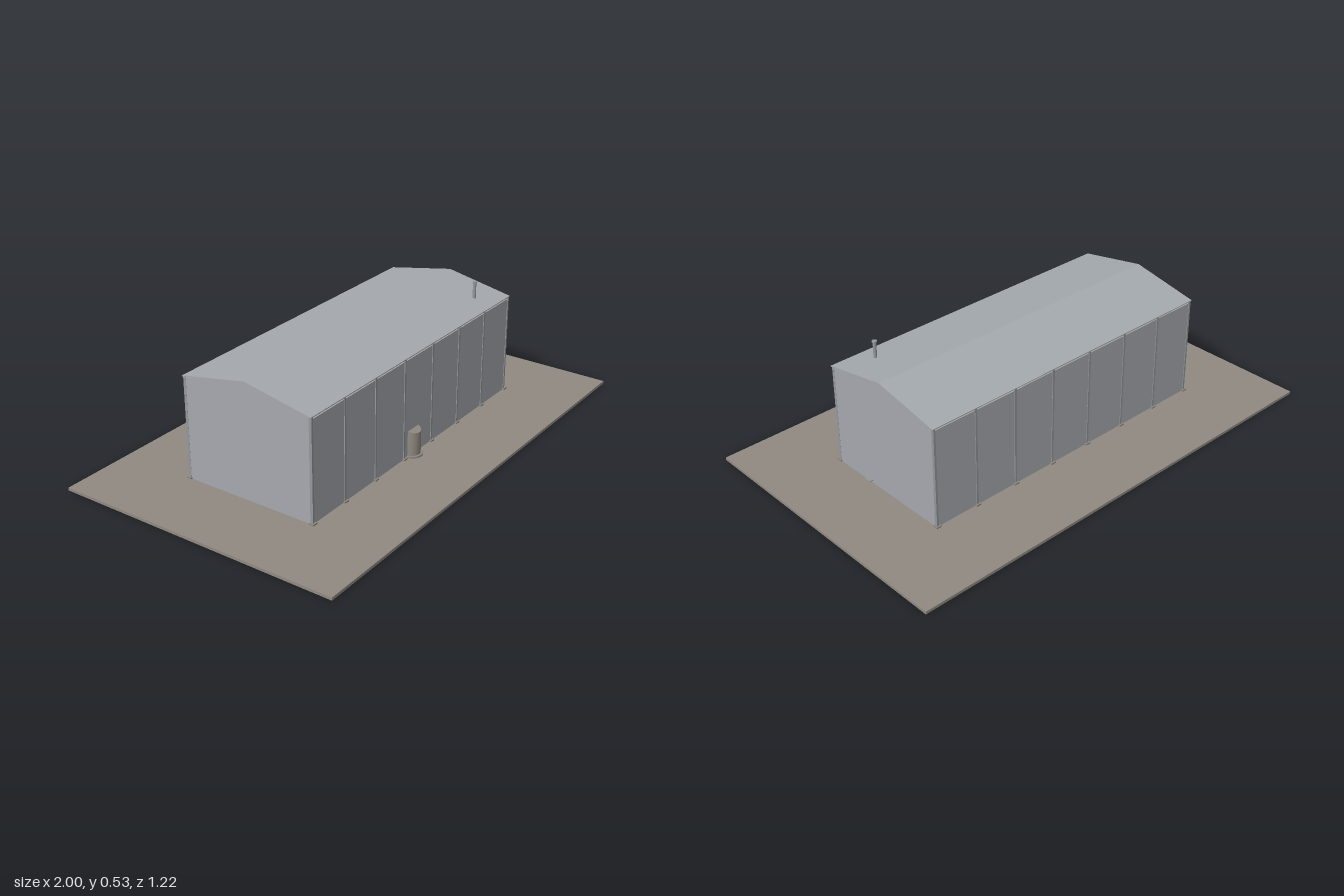
import * as THREE from 'three';

const mat = (name, color) => {
  const m = new THREE.MeshStandardMaterial({ color });
  m.name = name;
  return m;
};

export function createModel() {
  const model = new THREE.Group();
  const groundMat = mat('groundTaupe', 0x918a81);
  const wallMat = mat('wallGrey', 0xa6a9ae);
  const roofMat = mat('roofGrey', 0xa5aaae);
  const steelMat = mat('steelGrey', 0x94989b);
  const padMat = mat('concrete', 0x8c8780);
  const tankMat = mat('tankTaupe', 0x908a80);

  const GROUND = 0.012, HALF_X = 0.682, HALF_Z = 0.29;
  const WALL_TOP = 0.429, EAVE = 0.438, RIDGE = 0.497, BAYS = 7;

  const add = (name, geometry, material, x = 0, y = 0, z = 0) => {
    const mesh = new THREE.Mesh(geometry, material);
    mesh.name = name;
    mesh.position.set(x, y, z);
    model.add(mesh);
    return mesh;
  };
  const box = (name, w, h, d, material, x, bottom, z) =>
    add(name, new THREE.BoxGeometry(w, h, d), material, x, bottom + h / 2, z);

  // Profile given as [z, y] points, extruded along x and centred there
  const crossSection = (points, length) => {
    const shape = new THREE.Shape(points.map(([z, y]) => new THREE.Vector2(-z, y)));
    return new THREE.ExtrudeGeometry(shape, { depth: length, bevelEnabled: false })
      .translate(0, 0, -length / 2)
      .rotateY(Math.PI / 2);
  };

  // Site slab
  box('groundSlab', 2, GROUND, 1.22, groundMat, 0, 0, 0);

  // Long walls: panels between posts, with an open slot below the eaves
  const bay = (2 * HALF_X) / BAYS;
  for (const side of [1, -1]) {
    for (let i = 0; i < BAYS; i++) {
      const x = -HALF_X + bay * (i + 0.5);
      box('wallPanel', bay, WALL_TOP - GROUND, 0.006, wallMat, x, GROUND, side * (HALF_Z - 0.003));
    }
    for (let i = 0; i <= BAYS; i++) {
      const x = (-HALF_X + 0.004) + (2 * HALF_X - 0.008) * i / BAYS;
      box('wallPost', 0.009, EAVE - GROUND, 0.012, steelMat, x, GROUND, side * (HALF_Z - 0.003));
      box('postFoot', 0.022, 0.006, 0.022, padMat, x, GROUND, side * (HALF_Z - 0.001));
    }
  }

  // Gable walls
  const gable = [
    [HALF_Z, GROUND], [HALF_Z, EAVE - 0.004], [0, RIDGE - 0.005],
    [-HALF_Z, EAVE - 0.004], [-HALF_Z, GROUND],
  ];
  for (const side of [1, -1]) {
    add('gableWall', crossSection(gable, 0.006), wallMat, side * (HALF_X - 0.003));
  }

  // Thin pitched roof sheet
  const eaveZ = HALF_Z + 0.004;
  add('roof', crossSection([
    [eaveZ, EAVE - 0.001], [eaveZ, EAVE + 0.003], [0, RIDGE],
    [-eaveZ, EAVE + 0.003], [-eaveZ, EAVE - 0.001], [0, RIDGE - 0.005],
  ], 2 * HALF_X + 0.01), roofMat);

  // Flue pipe with a wider cap
  const flueX = 0.545, flueZ = 0.205;
  add('fluePipe', new THREE.CylinderGeometry(0.007, 0.007, 0.11, 16), steelMat, flueX, 0.47, flueZ);
  add('flueCap', new THREE.CylinderGeometry(0.01, 0.01, 0.006, 16), steelMat, flueX, 0.527, flueZ);

  // Round tank against the front wall, its top sloping down to the front
  const tank = new THREE.CylinderGeometry(0.037, 0.037, 0.105, 32);
  const p = tank.attributes.position;
  for (let i = 0; i < p.count; i++) {
    if (p.getY(i) > 0) p.setY(i, p.getY(i) + 0.008 - p.getZ(i) * 0.25);
  }
  tank.computeVertexNormals();
  add('tank', tank, tankMat, -0.035, GROUND + 0.0525, 0.284);
  add('tankBase', new THREE.CylinderGeometry(0.047, 0.047, 0.007, 32), padMat, -0.035, GROUND + 0.0035, 0.284);

  // Small ledge on the left gable
  box('gableLedge', 0.016, 0.003, 0.03, steelMat, HALF_X + 0.008, 0.023, 0.097);

  return model;
}
